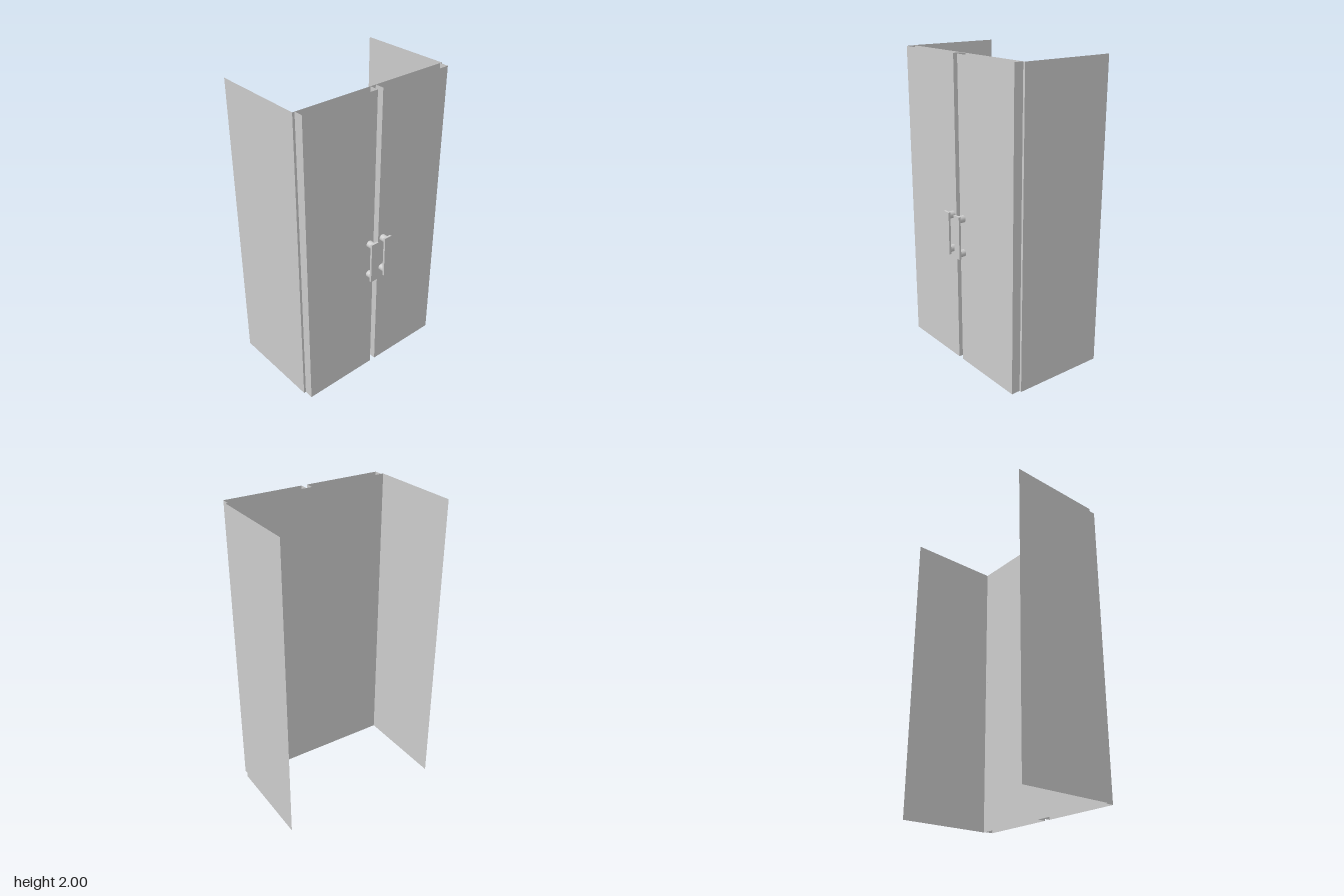
import * as THREE from 'three';

const HEIGHT = 2;
const FRONT = 0.32;   // door face
const FRAME = 0.26;   // back of the doors, front of the cabinet sides
const BACK = -0.37;

const material = new THREE.MeshStandardMaterial({ color: 0xcccccc, side: THREE.DoubleSide });

function add(parent, name, geometry, x, y, z) {
  const mesh = new THREE.Mesh(geometry, material);
  mesh.name = name;
  mesh.position.set(x, y, z);
  parent.add(mesh);
  return mesh;
}

// Full-height sheet facing z, between two x values
function sheetX(parent, name, x0, x1, z) {
  return add(parent, name, new THREE.PlaneGeometry(Math.abs(x1 - x0), HEIGHT), (x0 + x1) / 2, HEIGHT / 2, z);
}

// Full-height sheet facing x, between two z values
function sheetZ(parent, name, x, z0, z1) {
  const mesh = add(parent, name, new THREE.PlaneGeometry(Math.abs(z1 - z0), HEIGHT), x, HEIGHT / 2, (z0 + z1) / 2);
  mesh.rotation.y = Math.PI / 2;
  return mesh;
}

// Hollow door, open at the top and bottom
function makeDoor(side) {
  const door = new THREE.Group();
  door.name = side > 0 ? 'leftDoor' : 'rightDoor';
  const inner = 0.02 * side, outer = 0.54 * side;
  sheetX(door, 'doorFront', inner, outer, FRONT);
  sheetX(door, 'doorBack', inner, outer, FRAME);
  sheetZ(door, 'doorInnerEdge', inner, FRAME, FRONT);
  sheetZ(door, 'doorOuterEdge', outer, FRAME, FRONT);
  return door;
}

// Flat grip on two round posts
function makeHandle(side) {
  const handle = new THREE.Group();
  handle.name = side > 0 ? 'leftHandle' : 'rightHandle';
  const x = 0.055 * side;
  add(handle, 'grip', new THREE.BoxGeometry(0.054, 0.28, 0.014), x, 0.89, 0.367);
  for (const y of [0.777, 1.003]) {
    const post = add(handle, 'post', new THREE.CylinderGeometry(0.023, 0.023, 0.065, 24), x, y, 0.3275);
    post.rotation.x = Math.PI / 2;
  }
  return handle;
}

export function createModel() {
  const model = new THREE.Group();
  model.name = 'cabinet';
  for (const side of [1, -1]) {
    model.add(makeDoor(side), makeHandle(side));
    // Thin cabinet side and the narrow frame strip beside the door
    sheetZ(model, side > 0 ? 'leftSide' : 'rightSide', 0.555 * side, BACK, FRAME);
    sheetX(model, 'frameStrip', 0.54 * side, 0.555 * side, FRAME);
  }
  // Strip closing the gap between the doors
  sheetX(model, 'centreStrip', -0.02, 0.02, FRAME);
  return model;
}
